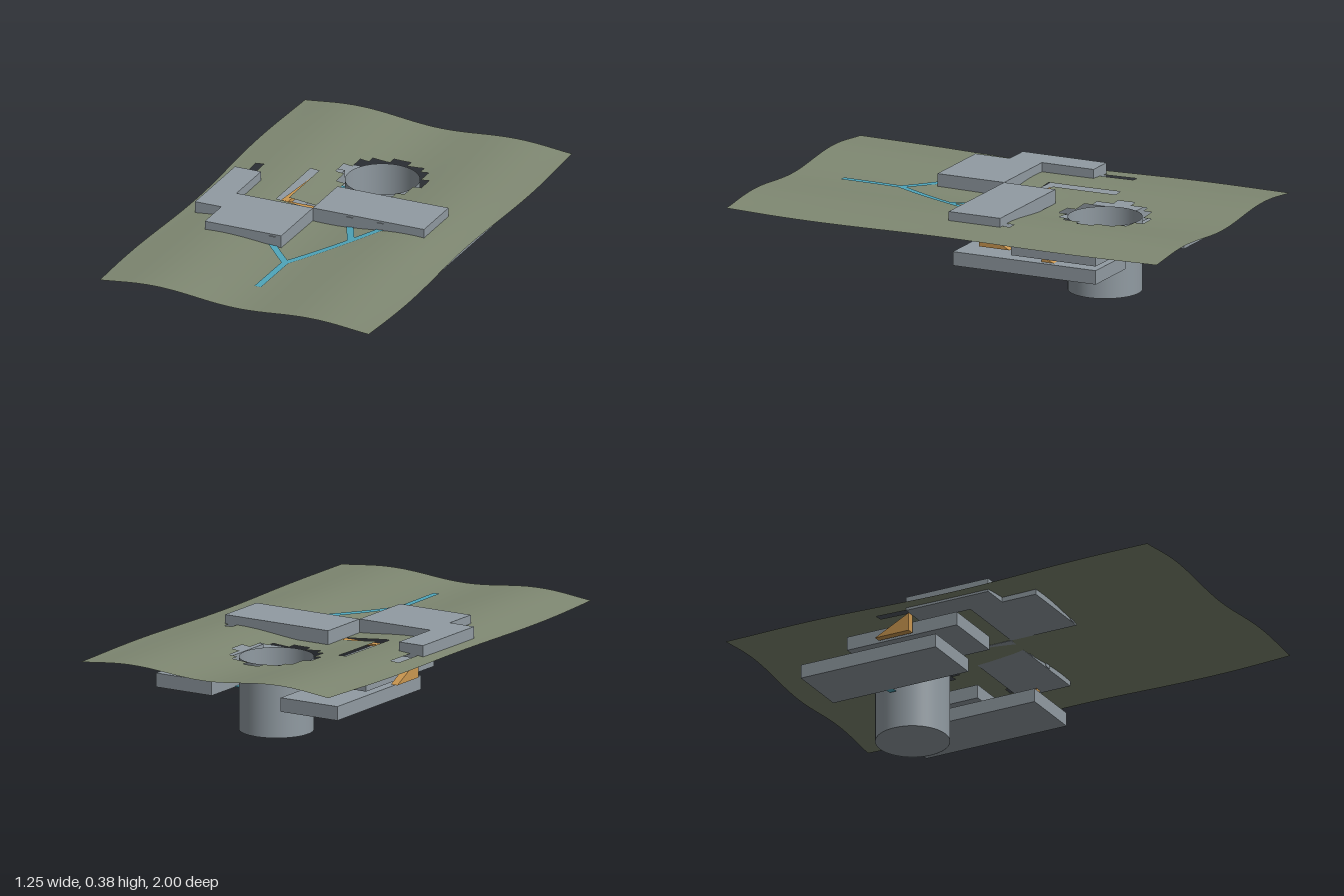
import * as THREE from 'three';

const mat = (name, color, side = THREE.FrontSide) => {
  const m = new THREE.MeshStandardMaterial({ color, side });
  m.name = name;
  return m;
};

// Gentle rolling ground height
const height = (x, z) =>
  0.326 - 0.012 * Math.cos(8.7 * x) - 0.006 * x + 0.007 * z * z + 0.003 * Math.sin(3 * z + 4 * x);

export function createModel() {
  const concrete = mat('concrete', 0x919ba2);
  const shaftConcrete = mat('shaft concrete', 0x919ba2, THREE.DoubleSide);
  const ground = mat('ground', 0x7f8872, THREE.DoubleSide);
  const rampOrange = mat('ramp orange', 0xcb9750, THREE.DoubleSide);
  const pathBlue = mat('path blue', 0x4fa5ba, THREE.DoubleSide);
  const model = new THREE.Group();
  model.name = 'undergroundComplex';

  const add = (name, geometry, material) => {
    const mesh = new THREE.Mesh(geometry, material);
    mesh.name = name;
    model.add(mesh);
    return mesh;
  };
  // Box from its limits on each axis
  const box = (name, x0, x1, y0, y1, z0, z1, material = concrete) =>
    add(name, new THREE.BoxGeometry(x1 - x0, y1 - y0, z1 - z0), material)
      .position.set((x0 + x1) / 2, (y0 + y1) / 2, (z0 + z1) / 2);

  // Ground sheet with a stepped shaft opening and ramp slots
  const nx = 64, nz = 102, cell = 2 / nz;
  const slots = [
    [-0.53, -0.49, -0.34, -0.18],
    [-0.295, -0.255, -0.375, -0.04],
    [-0.295, -0.08, -0.08, -0.04],
    [0.37, 0.41, -0.215, -0.1],
  ];
  const isOpen = (i, j) => {
    const dx = Math.floor(i / 2) - 15.5, dz = Math.floor(j / 2) - 13.5;
    if (Math.hypot(dx, dz) < 4.6) return true;
    const x = (i + 0.5 - nx / 2) * cell, z = (j + 0.5) * cell - 1;
    return slots.some(([a, b, c, d]) => x > a && x < b && z > c && z < d);
  };
  const points = [], faces = [];
  for (let j = 0; j <= nz; j++) {
    for (let i = 0; i <= nx; i++) {
      const x = (i - nx / 2) * cell, z = j * cell - 1;
      const edge = Math.max(0, (Math.abs(x) - 0.45) / 0.18);
      const wave = edge * (0.008 - 0.009 * Math.cos(5.2 * (z - 0.05)));
      points.push(x - Math.sign(x) * (0.017 * edge - wave), height(x, z), z);
      if (i === nx || j === nz || isOpen(i, j)) continue;
      const a = j * (nx + 1) + i, b = a + nx + 1;
      faces.push(a, b, a + 1, b, b + 1, a + 1);
    }
  }
  const sheet = new THREE.BufferGeometry();
  sheet.setAttribute('position', new THREE.Float32BufferAttribute(points, 3));
  sheet.setIndex(faces);
  sheet.computeVertexNormals();
  add('terrain', sheet, ground);

  // Open-topped round shaft with a floor
  const shaftZ = -0.451;
  add('shaftWall', new THREE.CylinderGeometry(0.156, 0.156, 0.312, 48, 1, true), shaftConcrete)
    .position.set(0, 0.156, shaftZ);
  const floor = add('shaftFloor', new THREE.CircleGeometry(0.156, 48), shaftConcrete);
  floor.rotation.x = -Math.PI / 2;
  floor.position.set(0, 0.001, shaftZ);

  // Surface buildings: one stepped, one plain
  const plan = [[-0.55, -0.18], [-0.43, -0.18], [-0.43, 0.06], [-0.08, 0.06],
    [-0.08, 0.37], [-0.43, 0.37], [-0.43, 0.21], [-0.55, 0.21]];
  const shape = new THREE.Shape(plan.map(([x, z]) => new THREE.Vector2(x, -z)));
  const stepped = new THREE.ExtrudeGeometry(shape, { depth: 0.06, bevelEnabled: false });
  stepped.rotateX(-Math.PI / 2);
  add('steppedBuilding', stepped, concrete).position.y = 0.315;
  box('plainBuilding', -0.08, 0.43, 0.315, 0.375, -0.18, 0.06);

  // Doors where the paths arrive
  for (const [x, z] of [[-0.12, 0.37], [0.09, 0.06], [0.23, 0.06]])
    box('door', x - 0.015, x + 0.015, 0.317, 0.366, z, z + 0.004);

  // Underground rooms, two levels on each side of the shaft
  box('upperRoomLeft', 0.195, 0.47, 0.235, 0.295, -0.645, -0.25);
  box('lowerRoomLeft', 0.195, 0.47, 0.157, 0.217, -0.645, 0.02);
  box('upperRoomRight', -0.475, -0.195, 0.235, 0.295, -0.5, 0.02);
  box('lowerRoomRight', -0.475, -0.195, 0.157, 0.217, -0.72, -0.08);

  // Wedge ramps, high at z0 and falling toward z1
  const wedge = (x, y0, y1, z0, z1, width = 0.032) => {
    const side = new THREE.Shape([
      new THREE.Vector2(-z0, y0), new THREE.Vector2(-z1, y0), new THREE.Vector2(-z0, y1)]);
    const g = new THREE.ExtrudeGeometry(side, { depth: width, bevelEnabled: false });
    g.rotateY(Math.PI / 2);
    add('ramp', g, rampOrange).position.x = x - width / 2;
  };
  wedge(-0.51, 0.235, 0.315, -0.18, -0.34);
  wedge(0.39, 0.235, 0.312, -0.07, -0.21);
  wedge(0.43, 0.216, 0.236, -0.38, -0.44);
  wedge(-0.275, 0.294, 0.316, -0.045, -0.375);
  box('rampLanding', -0.29, -0.08, 0.308, 0.316, -0.076, -0.045, rampOrange);

  // Ribbon path draped over the ground
  const path = (x0, z0, x1, z1) => {
    const g = new THREE.PlaneGeometry(0.03, 1, 1, 16);
    const p = g.attributes.position;
    const length = Math.hypot(x1 - x0, z1 - z0);
    const ux = (x1 - x0) / length, uz = (z1 - z0) / length;
    for (let i = 0; i < p.count; i++) {
      const t = p.getY(i) * (length + 0.012) + length / 2, s = p.getX(i);
      const x = x0 + ux * t - uz * s, z = z0 + uz * t + ux * s;
      p.setXYZ(i, x, height(x, z) + 0.004, z);
    }
    g.computeVertexNormals();
    add('path', g, pathBlue);
  };
  path(0, 0.765, 0, 0.5);
  path(0, 0.5, -0.12, 0.37);
  path(0, 0.5, 0.16, 0.2);
  path(0.16, 0.2, 0.09, 0.06);
  path(0.16, 0.2, 0.23, 0.06);

  // Thin walkways from the shaft to the rooms
  for (const side of [-1, 1])
    for (const y of [0.157, 0.236])
      box('walkway', side * 0.185 - 0.014, side * 0.185 + 0.014, y, y + 0.003,
        shaftZ - 0.015, shaftZ + 0.015, pathBlue);

  return model;
}
